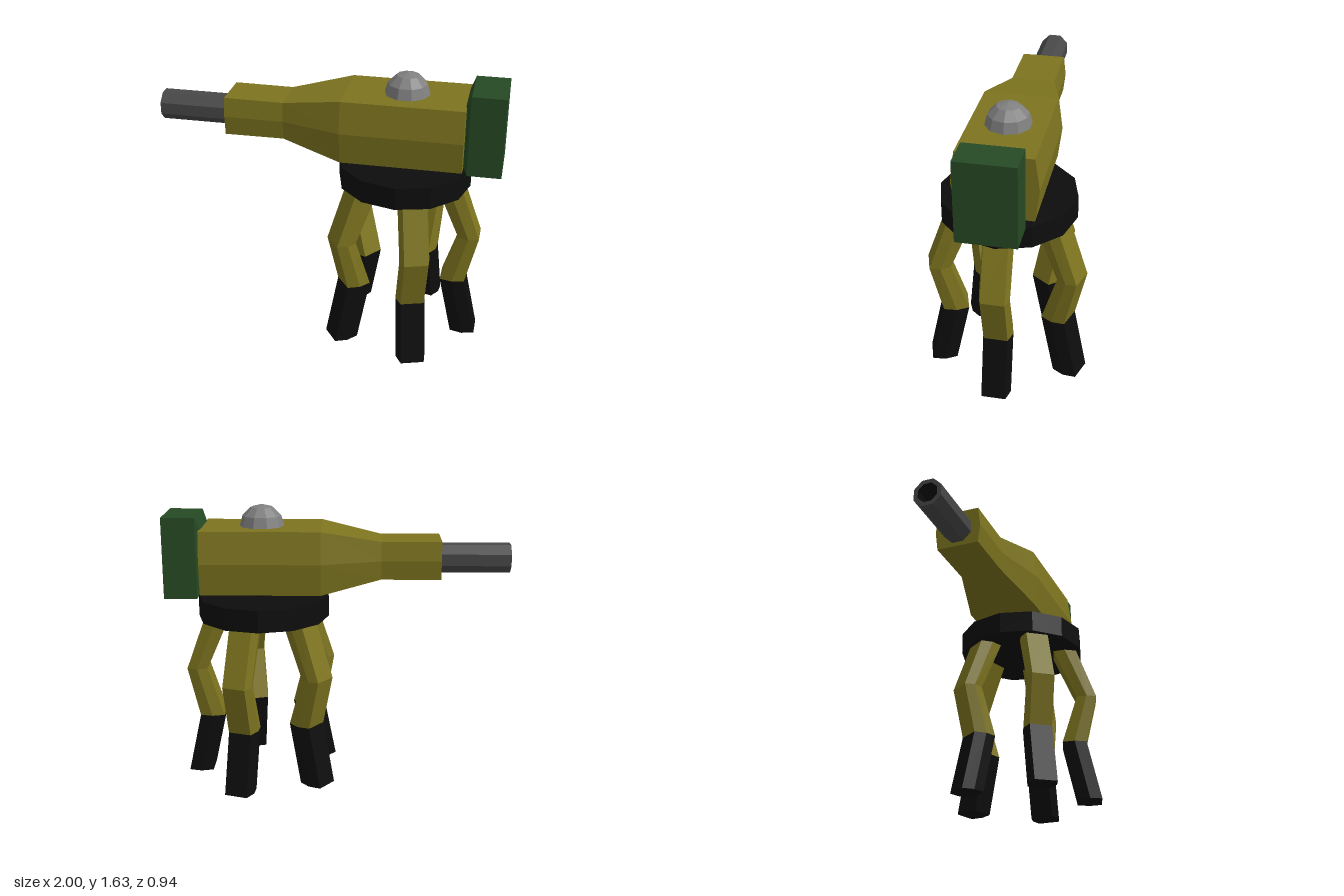
import * as THREE from 'three';

const mat = (color) => new THREE.MeshStandardMaterial({ color, flatShading: true });
const olive = mat(0x7d741f), black = mat(0x0d0d0d), green = mat(0x264a24);
const darkGrey = mat(0x484848), grey = mat(0x808080);

function addMesh(parent, name, geometry, material, x = 0, y = 0, z = 0) {
  const mesh = new THREE.Mesh(geometry, material);
  mesh.name = name;
  mesh.position.set(x, y, z);
  parent.add(mesh);
  return mesh;
}

// Skin a row of rings (each counter-clockwise seen from the last ring's end) and cap both ends
function loft(rings) {
  const n = rings[0].length, index = [];
  for (let r = 0; r < rings.length - 1; r++) {
    for (let i = 0; i < n; i++) {
      const a = r * n + i, b = r * n + (i + 1) % n;
      index.push(a, b, b + n, a, b + n, a + n);
    }
  }
  const last = (rings.length - 1) * n;
  for (let i = 1; i < n - 1; i++) {
    index.push(0, i + 1, i, last, last + i, last + i + 1);
  }
  const geo = new THREE.BufferGeometry();
  geo.setAttribute('position', new THREE.Float32BufferAttribute(rings.flat(2), 3));
  geo.setIndex(index);
  const flat = geo.toNonIndexed();
  flat.computeVertexNormals();
  return flat;
}

// Six-sided section across x, widest at mid height
const hullRing = (x, bottom, top, edge, mid) => {
  const c = (bottom + top) / 2;
  return [[x, c, -mid], [x, top, -edge], [x, top, edge], [x, c, mid], [x, bottom, edge], [x, bottom, -edge]];
};

// Four-sided section across x
const boxRing = (x, bottom, top, half) =>
  [[x, top, -half], [x, top, half], [x, bottom, half], [x, bottom, -half]];

// Six-sided leg section at height y, between two radial distances
const legRing = (y, inner, outer) => {
  const c = (inner + outer) / 2;
  return [[outer, y, 0.068], [outer, y, -0.068], [c, y, -0.086], [inner, y, -0.068], [inner, y, 0.068], [c, y, 0.086]];
};

export function createModel() {
  const model = new THREE.Group();
  model.name = 'walkingTurret';
  const cx = 0.44;

  // Gun housing, narrowing towards the barrel
  addMesh(model, 'housing', loft([
    hullRing(-0.595, 1.218, 1.442, 0.125, 0.138),
    hullRing(-0.25, 1.22, 1.44, 0.125, 0.138),
    hullRing(0.095, 1.143, 1.51, 0.21, 0.234),
    hullRing(0.785, 1.143, 1.51, 0.21, 0.234),
  ]), olive);

  // Counterweight block with a short bevel against the housing
  addMesh(model, 'rearBlock', loft([
    boxRing(0.78, 1.17, 1.51, 0.14),
    boxRing(0.808, 1.11, 1.58, 0.165),
    boxRing(1, 1.11, 1.58, 0.165),
  ]), green);

  // Hollow eight-sided barrel
  const turned = (points) =>
    new THREE.LatheGeometry(points.map(([r, y]) => new THREE.Vector2(r, y)), 8, Math.PI / 8);
  const barrel = addMesh(model, 'barrel',
    turned([[0.088, -0.02], [0.088, 0.405], [0.062, 0.405]]), darkGrey, -0.595, 1.325, 0);
  const bore = addMesh(model, 'bore',
    turned([[0.062, 0.405], [0.062, 0.2], [0, 0.2]]), black, -0.595, 1.325, 0);
  barrel.rotation.z = bore.rotation.z = Math.PI / 2;

  // Dome on the roof
  addMesh(model, 'dome',
    new THREE.SphereGeometry(0.13, 10, 3, 0, Math.PI * 2, 0, Math.PI / 2), grey, cx, 1.505, 0);

  // Swivel neck and base disc
  addMesh(model, 'neck', new THREE.CylinderGeometry(0.075, 0.075, 0.07, 12), black, cx, 1.12, 0);
  addMesh(model, 'baseDisc', new THREE.CylinderGeometry(0.385, 0.385, 0.13, 12), black, cx, 1.035, 0);

  // Five bent legs around the disc
  const legGeo = loft([legRing(0.36, 0.245, 0.39), legRing(0.655, 0.34, 0.46), legRing(0.975, 0.2, 0.343)]);
  const footGeo = loft([legRing(0, 0.325, 0.47), legRing(0.36, 0.245, 0.39)]);
  for (let i = 0; i < 5; i++) {
    const leg = new THREE.Group();
    leg.name = 'leg' + (i + 1);
    leg.position.x = cx;
    leg.rotation.y = i * Math.PI * 2 / 5;
    addMesh(leg, 'upperLeg', legGeo, olive);
    addMesh(leg, 'foot', footGeo, black);
    model.add(leg);
  }
  return model;
}
